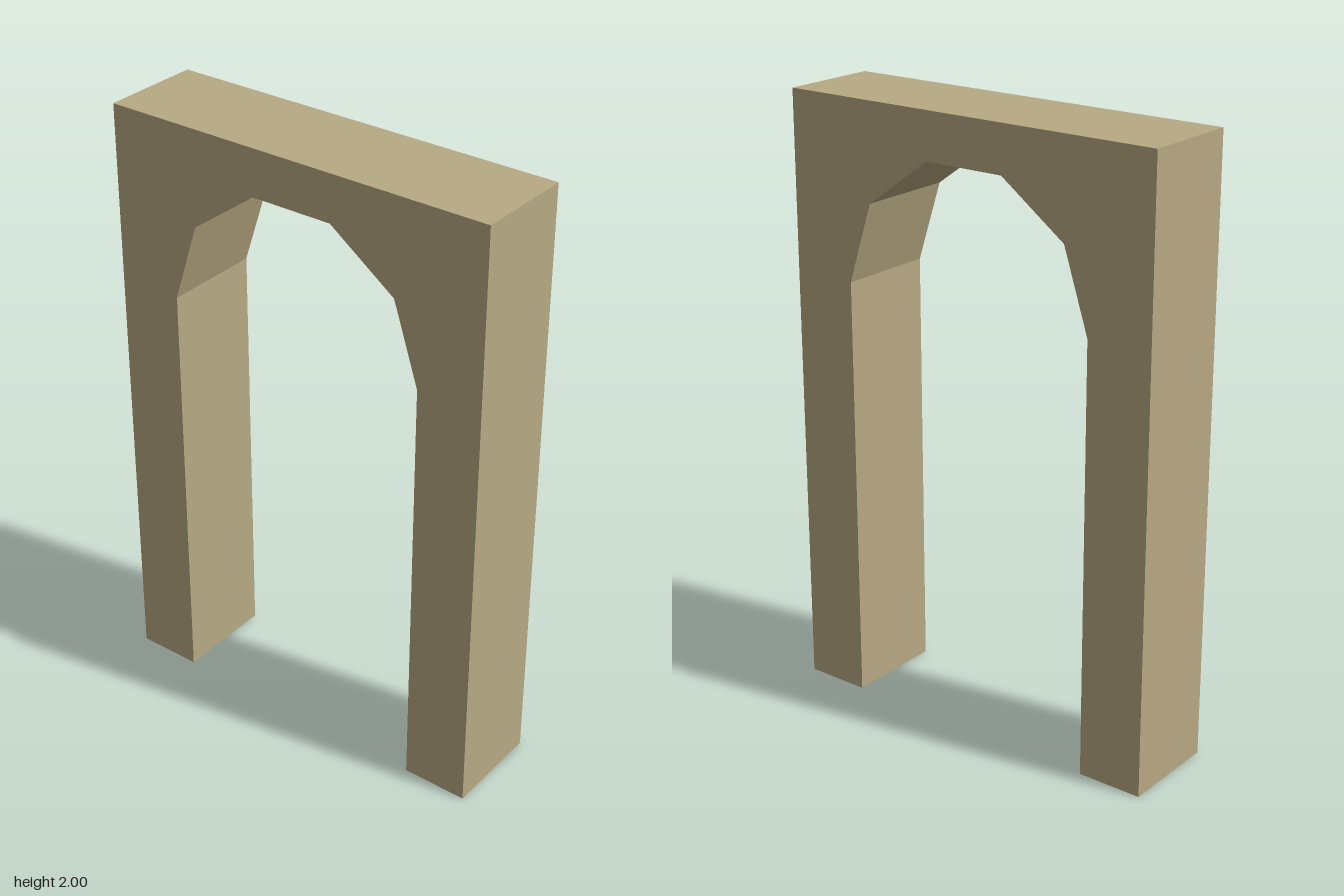
import * as THREE from 'three';

const HALF_WIDTH = 0.667;
const HEIGHT = 2;
const DEPTH = 0.333;
const OPENING_RADIUS = 0.449;
const SPRING_HEIGHT = 1.42; // where the straight jambs meet the arch
const ARCH_SEGMENTS = 5;

export function createModel() {
  const model = new THREE.Group();
  model.name = 'archway';

  const stone = new THREE.MeshStandardMaterial({ color: 0xb7a982, flatShading: true });
  stone.name = 'sandstone';

  // Outer outline, then back over the faceted arch from left to right
  const outline = new THREE.Shape();
  outline.moveTo(OPENING_RADIUS, 0);
  outline.lineTo(HALF_WIDTH, 0);
  outline.lineTo(HALF_WIDTH, HEIGHT);
  outline.lineTo(-HALF_WIDTH, HEIGHT);
  outline.lineTo(-HALF_WIDTH, 0);
  outline.lineTo(-OPENING_RADIUS, 0);
  for (let i = 0; i <= ARCH_SEGMENTS; i++) {
    const angle = Math.PI * (1 - i / ARCH_SEGMENTS);
    outline.lineTo(
      OPENING_RADIUS * Math.cos(angle),
      SPRING_HEIGHT + OPENING_RADIUS * Math.sin(angle)
    );
  }
  outline.closePath();

  // Wall with its two legs and arched opening
  const geometry = new THREE.ExtrudeGeometry(outline, { depth: DEPTH, bevelEnabled: false });
  geometry.translate(0, 0, -DEPTH / 2);
  const wall = new THREE.Mesh(geometry, stone);
  wall.name = 'archWall';
  model.add(wall);

  return model;
}
